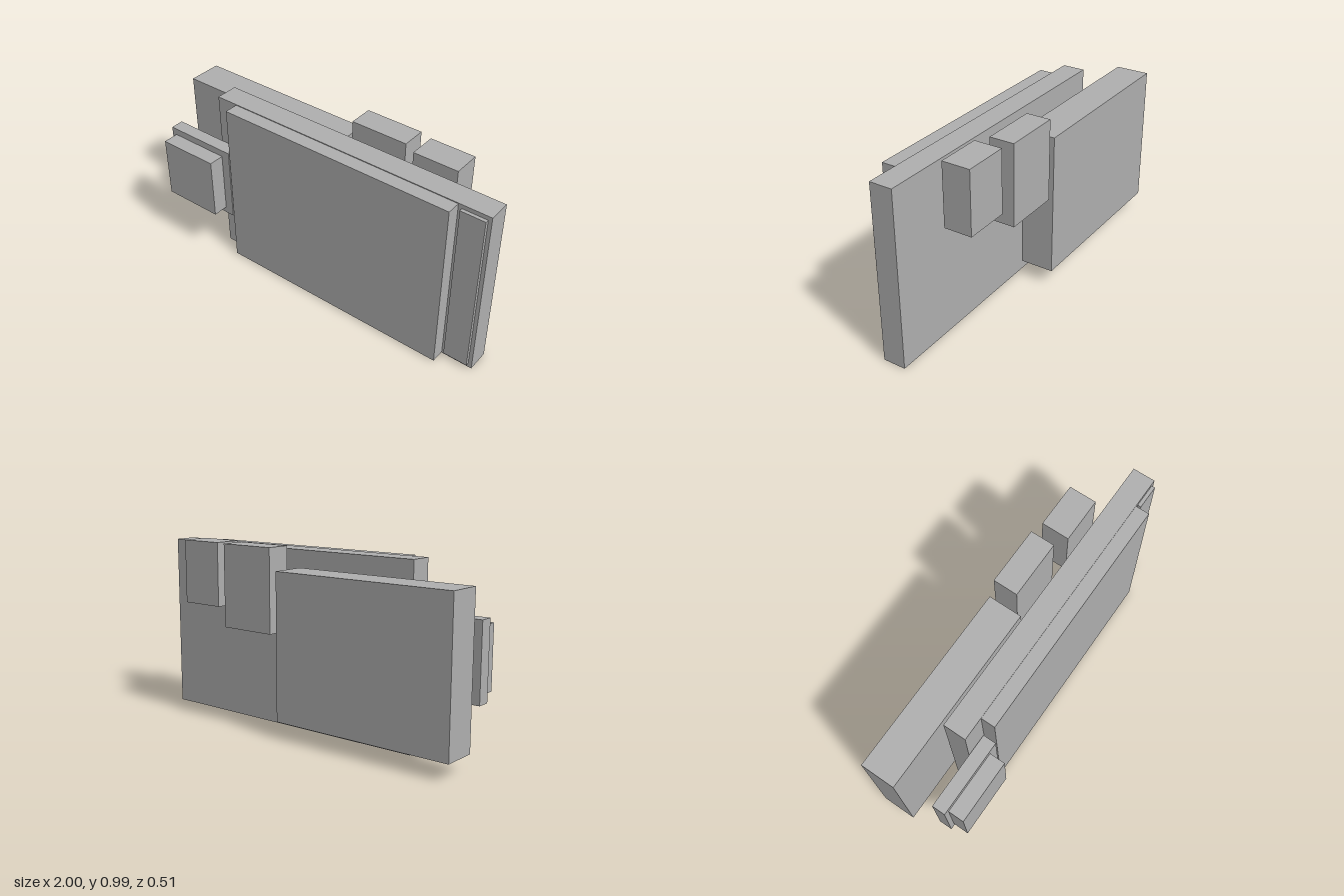
import * as THREE from 'three';

// Each part: name, [xMin, xMax], [yMin, yMax], [zMin, zMax]
const PARTS = [
  ['mainBoard', [-0.645, 1], [0, 0.967], [-0.033, 0.091]],
  ['frontPanel', [-0.52, 0.825], [0.005, 0.963], [0.091, 0.168]],
  ['sideStrip', [0.845, 0.98], [0.025, 0.945], [0.091, 0.11]],
  // stepped block on the right-hand front
  ['blockBase', [-0.95, -0.527], [0.277, 0.695], [0.095, 0.168]],
  ['blockCap', [-0.923, -0.577], [0.313, 0.657], [0.168, 0.255]],
  // separate slabs behind the board
  ['rearSlab', [-1, 0.033], [0.092, 0.877], [-0.255, -0.068]],
  ['rearTallBlock', [0.075, 0.397], [0.548, 0.993], [-0.255, -0.12]],
  ['rearShortBlock', [0.465, 0.715], [0.648, 0.993], [-0.235, -0.082]],
];

export function createModel() {
  const grey = new THREE.MeshStandardMaterial({ color: 0xb0b0b0 });
  grey.name = 'grey';

  const model = new THREE.Group();
  model.name = 'layeredPanels';
  for (const [name, ...ranges] of PARTS) {
    const size = ranges.map(([a, b]) => b - a);
    const centre = ranges.map(([a, b]) => (a + b) / 2);
    const mesh = new THREE.Mesh(new THREE.BoxGeometry(...size), grey);
    mesh.name = name;
    mesh.position.set(...centre);
    model.add(mesh);
  }
  return model;
}
